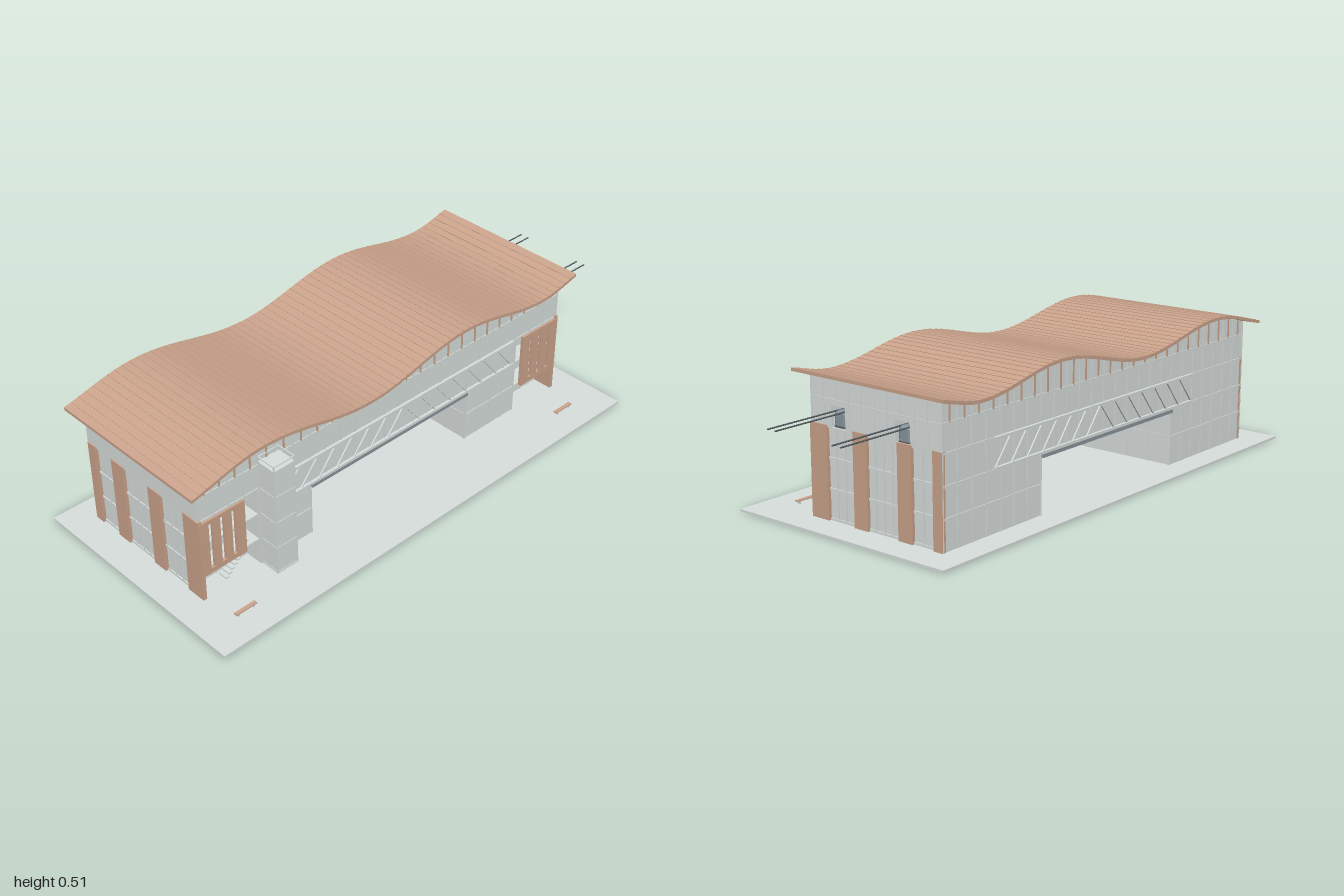
import * as THREE from 'three';
import { RoundedBoxGeometry } from 'three/addons/geometries/RoundedBoxGeometry.js';

const mat = (name, color) => {
  const m = new THREE.MeshStandardMaterial({ color });
  m.name = name;
  return m;
};

// Height of the roof top: smooth half waves between crests and troughs
const WAVE = [[-1.05, 0.437], [-0.65, 0.503], [-0.22, 0.442], [0.22, 0.512], [0.6, 0.457], [0.85, 0.497]];
function roofY(x) {
  let i = 0;
  while (i < WAVE.length - 2 && x > WAVE[i + 1][0]) i++;
  const [x0, y0] = WAVE[i], [x1, y1] = WAVE[i + 1];
  return y0 + (y1 - y0) * (1 - Math.cos(Math.PI * (x - x0) / (x1 - x0))) / 2;
}

export function createModel() {
  const root = new THREE.Group();
  const panel = mat('pale panel', 0xdae1df);
  const wood = mat('terracotta wood', 0xcda58d);
  const steel = mat('blue grey steel', 0x8a979e);
  const dark = mat('dark trim', 0x565f63);

  const group = name => {
    const g = new THREE.Group();
    g.name = name;
    root.add(g);
    return g;
  };
  const add = (name, geo, m, parent) => {
    const mesh = new THREE.Mesh(geo, m);
    mesh.name = name;
    parent.add(mesh);
    return mesh;
  };
  // Box given by its two extreme corners
  const box = (name, m, parent, x0, x1, y0, y1, z0, z1) => {
    const b = add(name, new THREE.BoxGeometry(x1 - x0, y1 - y0, z1 - z0), m, parent);
    b.position.set((x0 + x1) / 2, (y0 + y1) / 2, (z0 + z1) / 2);
    return b;
  };
  const shapeOf = pts => new THREE.Shape(pts.map(p => new THREE.Vector2(...p)));
  const rectPath = (x0, x1, y0, y1) => new THREE.Path([[x0, y0], [x0, y1], [x1, y1], [x1, y0]].map(p => new THREE.Vector2(...p)));
  const extrude = (shape, depth) => new THREE.ExtrudeGeometry(shape, { depth, bevelEnabled: false });

  box('groundPlate', panel, root, -1, 0.835, 0, 0.008, -0.435, 0.435);

  // Long walls: panels rising to the roof, mullions, floor bands and wooden clerestory fins
  const floors = [0.11, 0.21, 0.31, 0.4];
  function longWall(name, z, out, segments) {
    const g = group(name);
    for (const [x0, x1, n, bottom] of segments) {
      const pts = [[x0, bottom], [x1, bottom]];
      for (let i = 0; i <= n * 2; i++) {
        const x = x1 + (x0 - x1) * i / (n * 2);
        pts.push([x, roofY(x) - 0.01]);
      }
      add('wallPanel', extrude(shapeOf(pts), 0.012), panel, g).position.z = out > 0 ? z - 0.012 : z;
      const za = z - 0.003, zb = z + 0.003;
      for (let i = 0; i <= n; i++) {
        const x = x0 + (x1 - x0) * i / n;
        box('mullion', panel, g, x - 0.002, x + 0.002, bottom, roofY(x) - 0.012, za, zb);
        if (i < n) {
          const xm = x + (x1 - x0) / n / 2;
          box('clerestoryFin', wood, g, xm - 0.003, xm + 0.003, 0.4, roofY(xm) - 0.012, za, zb);
        }
      }
      for (const y of floors) if (y > bottom - 0.005)
        box('floorBand', panel, g, x0, x1, y - 0.003, y + 0.003, za, zb);
    }
  }
  longWall('frontWall', 0.2, 1, [[-0.89, -0.65, 4, 0.31], [-0.65, -0.44, 3, 0.008], [-0.44, 0.275, 11, 0.2], [0.275, 0.52, 4, 0.008], [0.52, 0.73, 3, 0.31]]);
  longWall('backWall', -0.34, -1, [[-0.89, -0.44, 7, 0.008], [-0.44, 0.275, 11, 0.2], [0.275, 0.73, 7, 0.008]]);

  // End walls: wooden piers, glazed bays and a gable
  const piers = [[0.135, 0.208], [-0.035, 0.022], [-0.22, -0.163], [-0.342, -0.305]];
  for (const s of [-1, 1]) {
    const end = s > 0 ? 0.73 : -0.89;
    const g = group(s > 0 ? 'leftEndWall' : 'rightEndWall');
    const slab = (name, m, inner, outer, y0, y1, z0, z1) =>
      box(name, m, g, Math.min(end + s * inner, end + s * outer), Math.max(end + s * inner, end + s * outer), y0, y1, z0, z1);
    piers.forEach(([z0, z1]) => slab('woodPier', wood, -0.01, 0.004, 0.008, 0.316, z0, z1));
    slab('endGlazing', panel, -0.018, -0.008, 0.008, 0.31, -0.335, 0.135);
    for (const y of [0.012, 0.11, 0.21, 0.31]) slab('endBand', panel, -0.01, -0.004, y - 0.004, y + 0.004, -0.335, 0.135);
    for (const z of [0.1, 0.064, 0.03, -0.065, -0.1, -0.135, -0.26])
      slab('endMullion', panel, -0.01, -0.004, 0.008, 0.31, z - 0.0015, z + 0.0015);

    // Gable, with cable car portals on one end
    const top = roofY(end) - 0.012;
    const gable = shapeOf([[-0.2, 0.31], [0.34, 0.31], [0.34, top], [-0.2, top]]);
    if (s > 0) for (const z of [0.085, -0.185]) gable.holes.push(rectPath(-z - 0.03, -z + 0.03, 0.312, 0.383));
    const wall = add('gable', extrude(gable, 0.012), panel, g);
    wall.rotation.y = Math.PI / 2;
    wall.position.x = s > 0 ? end - 0.012 : end;
    for (let i = 0; i <= 10; i++) {
      const z = -0.34 + i * 0.054;
      const overPortal = s > 0 && (Math.abs(z - 0.085) < 0.03 || Math.abs(z + 0.185) < 0.03);
      slab('gableMullion', panel, -0.002, 0.002, overPortal ? 0.385 : 0.316, top, z - 0.0015, z + 0.0015);
    }
    slab('gableBand', panel, -0.002, 0.002, 0.398, 0.402, -0.34, 0.2);
  }

  // Passage under the bridge: side walls and wooden soffit
  const passage = group('passage');
  for (const [x, s] of [[-0.44, 1], [0.275, -1]]) {
    box('passageWall', panel, passage, Math.min(x, x - s * 0.012), Math.max(x, x - s * 0.012), 0.008, 0.205, -0.34, 0.2);
    for (let i = 0; i <= 6; i++) {
      const z = -0.338 + i * 0.0893;
      box('passageMullion', panel, passage, x - 0.002, x + 0.002, 0.008, 0.2, z - 0.002, z + 0.002);
    }
    box('passageBand', panel, passage, x - 0.002, x + 0.002, 0.107, 0.113, -0.34, 0.2);
  }
  box('soffit', wood, passage, -0.44, 0.275, 0.196, 0.206, -0.34, 0.2);

  // Bridge trusses and steel edge beams on both long sides
  for (const [name, z] of [['frontTruss', 0.205], ['backTruss', -0.345]]) {
    const g = group(name), n = 14, xa = -0.56, step = 1.06 / n;
    box('edgeBeam', steel, g, -0.44, 0.275, 0.198, 0.21, z - 0.006, z + 0.006);
    box('lowerChord', panel, g, -0.56, 0.5, 0.21, 0.219, z - 0.005, z + 0.005);
    box('upperChord', panel, g, -0.56, 0.5, 0.306, 0.314, z - 0.005, z + 0.005);
    for (let i = 0; i < n; i++) {
      const d = add('diagonal', new THREE.BoxGeometry(0.005, Math.hypot(step, 0.095), 0.005), panel, g);
      d.position.set(xa + (i + 0.5) * step, 0.262, z);
      d.rotation.z = (i < n / 2 ? -1 : 1) * Math.atan2(step, 0.095);
    }
  }

  // Recessed front corners behind slotted wooden screens
  for (const [name, x0, x1, sx0, sx1, inner] of [['rightCorner', -0.875, -0.65, -0.892, -0.715, -0.65], ['leftCorner', 0.52, 0.715, 0.552, 0.732, 0.52]]) {
    const g = group(name);
    box('recessWall', panel, g, x0, x1, 0.008, 0.31, 0.123, 0.135);
    box('returnWall', panel, g, inner - 0.006, inner + 0.006, 0.008, 0.31, 0.125, 0.2);
    for (const y of [0.105, 0.205, 0.308]) box('landing', panel, g, x0, x1, y - 0.004, y + 0.004, 0.135, 0.198);
    for (let i = 1; i < 5; i++) {
      const x = x0 + (x1 - x0) * i / 5;
      box('recessMullion', panel, g, x - 0.002, x + 0.002, 0.008, 0.305, 0.133, 0.138);
    }
    const screen = shapeOf([[sx0, 0.1], [sx1, 0.1], [sx1, 0.306], [sx0, 0.306]]);
    for (let i = 1; i <= 3; i++) {
      const c = sx0 + (sx1 - sx0) * i / 4;
      screen.holes.push(rectPath(c - 0.008, c + 0.008, 0.118, 0.292));
    }
    add('woodScreen', extrude(screen, 0.012), wood, g).position.z = 0.198;
  }

  // Zigzag stair beside the lift tower
  const stair = group('stair');
  for (let flight = 0; flight < 3; flight++) for (let i = 0; i < 8; i++) {
    const t = flight % 2 ? 7 - i : i;
    const x = -0.785 + t * 0.012, y = 0.012 + flight * 0.1 + i * 0.0118;
    box('tread', panel, stair, x, x + 0.013, y, y + 0.005, 0.15, 0.185);
  }

  // Lift tower with an open frame at the top
  const tower = group('liftTower');
  box('shaft', panel, tower, -0.648, -0.567, 0.008, 0.412, 0.2, 0.273);
  for (const y of [0.012, 0.11, 0.21, 0.31, 0.41]) box('towerBand', panel, tower, -0.65, -0.565, y - 0.003, y + 0.003, 0.2, 0.275);
  for (const x of [-0.65, -0.569]) {
    for (const z of [0.2, 0.271]) box('towerPost', panel, tower, x, x + 0.004, 0.008, 0.432, z, z + 0.004);
    box('sideRail', panel, tower, x, x + 0.004, 0.428, 0.432, 0.2, 0.275);
  }
  for (const z of [0.2, 0.271]) box('topRail', panel, tower, -0.65, -0.565, 0.428, 0.432, z, z + 0.004);

  // Wavy roof deck with slim raised battens
  const roof = group('roof');
  const xs = Array.from({ length: 73 }, (_, i) => -0.935 + 1.705 * i / 72);
  const outline = [...xs.map(x => [x, roofY(x) - 0.011]), ...xs.slice().reverse().map(x => [x, roofY(x)])];
  add('roofDeck', extrude(shapeOf(outline), 0.63), wood, roof).position.z = -0.385;
  for (let i = 1; i < 60; i++) {
    const x = -0.935 + 1.705 * i / 60;
    const batten = box('roofBatten', wood, roof, x - 0.0018, x + 0.0018, roofY(x) - 0.002, roofY(x) + 0.0015, -0.384, 0.244);
    batten.rotation.z = Math.atan2(roofY(x + 0.005) - roofY(x - 0.005), 0.01);
  }

  // Cable cars in the portals, with twin cables
  for (const z of [0.085, -0.185]) {
    const g = group('cableCar');
    add('cabin', new RoundedBoxGeometry(0.06, 0.056, 0.05, 3, 0.01), steel, g).position.set(0.695, 0.338, z);
    add('cabinBase', new RoundedBoxGeometry(0.062, 0.012, 0.046, 2, 0.004), dark, g).position.set(0.695, 0.315, z);
    box('hanger', panel, g, 0.69, 0.7, 0.36, 0.4, z - 0.003, z + 0.003);
    for (const d of [-0.017, 0.016]) {
      const cable = add('cable', new THREE.CylinderGeometry(0.0025, 0.0025, 0.4, 6), dark, g);
      cable.rotation.z = Math.PI / 2;
      cable.position.set(0.8, 0.365, z + d);
    }
  }

  // Benches on the forecourt
  for (const x of [-0.83, 0.648]) {
    const g = group('bench');
    box('seat', wood, g, x - 0.041, x + 0.041, 0.017, 0.021, 0.324, 0.338);
    for (const d of [-0.03, 0.03]) box('benchLeg', panel, g, x + d - 0.003, x + d + 0.003, 0.008, 0.017, 0.326, 0.336);
  }
  return root;
}
